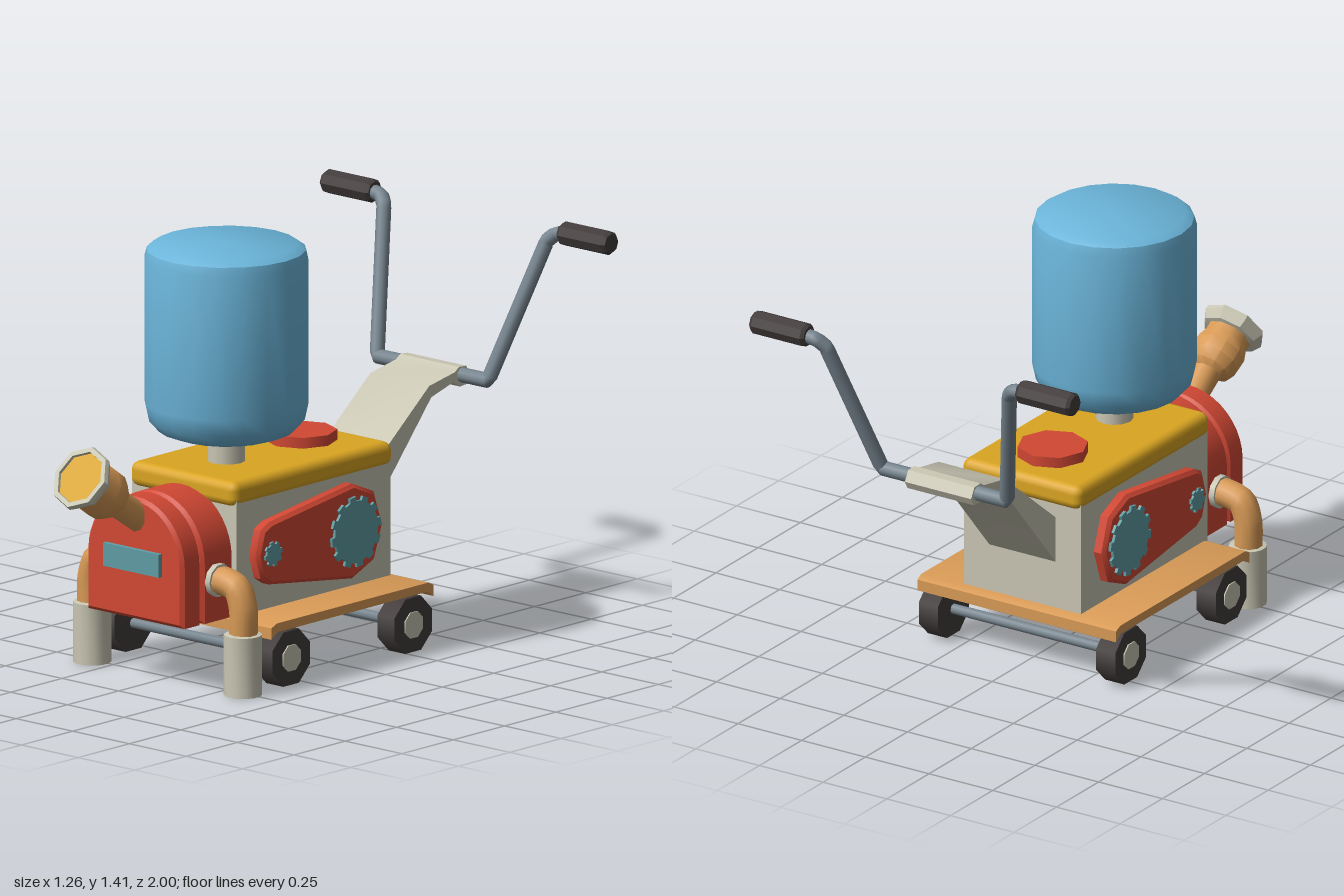
import * as THREE from 'three';
import { toCreasedNormals } from 'three/addons/utils/BufferGeometryUtils.js';
import { RoundedBoxGeometry } from 'three/addons/geometries/RoundedBoxGeometry.js';

const material = (name, color, side = THREE.FrontSide) => {
  const m = new THREE.MeshStandardMaterial({ color, side });
  m.name = name;
  return m;
};

// Shape from a list of [a, b] points
const polygon = (pts) => new THREE.Shape(pts.map(([a, b]) => new THREE.Vector2(a, b)));

// Extrude centred on its depth, with an optional inset bevel
function slab(shape, depth, bevel = 0) {
  const geo = new THREE.ExtrudeGeometry(shape, {
    depth: depth - 2 * bevel, curveSegments: 10, bevelEnabled: bevel > 0,
    bevelThickness: bevel, bevelSize: bevel, bevelOffset: -bevel, bevelSegments: 1,
  });
  geo.translate(0, 0, -(depth - 2 * bevel) / 2);
  return toCreasedNormals(geo, 0.6);
}

// Shape drawn in (z, y), extruded along x
const sideSlab = (shape, width, bevel) => slab(shape, width, bevel).rotateY(-Math.PI / 2);

const lathe = (pts, sides, crease = 0.7) => toCreasedNormals(
  new THREE.LatheGeometry(pts.map(([r, y]) => new THREE.Vector2(r, y)), sides), crease);

const rodX = (radius, length, sides) =>
  new THREE.CylinderGeometry(radius, radius, length, sides).rotateZ(Math.PI / 2);

function tube(pts, radius, segments, tension) {
  const curve = new THREE.CatmullRomCurve3(pts.map((p) => new THREE.Vector3(...p)), false, 'catmullrom', tension);
  return new THREE.TubeGeometry(curve, segments, radius, 10);
}

// Cog outline centred on (z, y)
function cog(z, y, root, tip, teeth) {
  const pts = [];
  for (let i = 0; i < teeth; i++) {
    [[0, root], [0.45, root], [0.5, tip], [0.95, tip]].forEach(([f, r]) => {
      const a = ((i + f) / teeth) * Math.PI * 2;
      pts.push([z + r * Math.cos(a), y + r * Math.sin(a)]);
    });
  }
  return polygon(pts);
}

// Arched outline: flat bottom, straight sides, round top
function arch(halfWidth, bottom, top) {
  const s = new THREE.Shape();
  s.moveTo(-halfWidth, bottom);
  s.lineTo(halfWidth, bottom);
  s.absarc(0, top - halfWidth, halfWidth, 0, Math.PI, false);
  s.closePath();
  return s;
}

export function createModel() {
  const blue = material('tank blue', 0x6bb5da);
  const red = material('casing red', 0xd24834);
  const yellow = material('lid yellow', 0xdaa522);
  const orange = material('copper orange', 0xd89a56);
  const cream = material('body cream', 0xc9c6b3, THREE.DoubleSide);
  const steel = material('steel grey', 0x77858f);
  const rubber = material('rubber black', 0x423b3b);
  const teal = material('gear teal', 0x5f9da4);

  const model = new THREE.Group();
  model.name = 'wheeledPumpMachine';
  const add = (name, geo, mat, x = 0, y = 0, z = 0, parent = model) => {
    const mesh = new THREE.Mesh(geo, mat);
    mesh.name = name;
    mesh.position.set(x, y, z);
    parent.add(mesh);
    return mesh;
  };

  // Platform with turned-down ends
  add('platform', sideSlab(polygon([
    [0.41, 0.23], [0.437, 0.218], [0.437, 0.18], [0.405, 0.2],
    [-0.325, 0.2], [-0.354, 0.18], [-0.354, 0.218], [-0.33, 0.23],
  ]), 0.78), orange);

  // Body, lid and filler cap
  add('body', new THREE.BoxGeometry(0.46, 0.4, 0.75), cream, 0, 0.42, 0.055);
  add('lid', new RoundedBoxGeometry(0.47, 0.085, 0.78, 2, 0.03), yellow, 0, 0.638, 0.055);
  add('fillerCap', new THREE.CylinderGeometry(0.118, 0.118, 0.045, 8), red, 0, 0.694, -0.14);

  // Tank on its neck
  add('tankNeck', new THREE.CylinderGeometry(0.062, 0.062, 0.13, 12), cream, 0, 0.73, 0.225);
  add('tank', lathe([
    [0, 0.768], [0.17, 0.768], [0.225, 0.788], [0.258, 0.825], [0.27, 0.88],
    [0.27, 1.365], [0.262, 1.395], [0.235, 1.413], [0, 1.413],
  ], 20), blue, 0, 0, 0.225);

  // Motor casing: two arched sections with a groove between
  add('motorRear', slab(arch(0.215, 0.228, 0.642), 0.155, 0.012), red, 0, 0, 0.502);
  add('motorGroove', slab(arch(0.2, 0.235, 0.627), 0.1), red, 0, 0, 0.58);
  add('motorFront', slab(arch(0.213, 0.228, 0.64), 0.095, 0.012), red, 0, 0, 0.627);
  add('motorPlate', new THREE.BoxGeometry(0.246, 0.078, 0.03), teal, 0, 0.43, 0.676);

  // Tilted horn
  const horn = new THREE.Group();
  horn.name = 'horn';
  horn.position.set(0, 0.757, 0.94);
  horn.rotation.x = 0.988;
  model.add(horn);
  add('hornPipe', lathe([
    [0.049, -0.42], [0.049, -0.2], [0.072, -0.185], [0.088, -0.15],
    [0.09, -0.11], [0.078, -0.075], [0.078, -0.03],
  ], 10), orange, 0, 0, 0, horn);
  add('hornRim', lathe([
    [0.07, -0.05], [0.095, -0.045], [0.112, -0.015], [0.108, 0], [0.091, 0], [0.088, -0.02],
  ], 8, 0.3), cream, 0, 0, 0, horn);
  add('hornMouth', new THREE.CylinderGeometry(0.092, 0.092, 0.008, 8), yellow, 0, -0.014, 0, horn);

  // Handle bracket
  add('handleBracket', sideSlab(polygon([
    [-0.3, 0.37], [-0.3, 0.535], [-0.62, 0.795], [-0.745, 0.818], [-0.765, 0.832],
    [-0.8, 0.83], [-0.82, 0.795], [-0.805, 0.768], [-0.77, 0.765], [-0.735, 0.785],
    [-0.63, 0.755],
  ]), 0.26), cream);

  // Bent handlebar
  const half = [[0.245, 0.803, -0.78], [0.36, 1.265, -0.94], [0.385, 1.29, -0.955], [0.44, 1.297, -0.957]];
  const mirrored = half.map(([x, y, z]) => [-x, y, z]).reverse();
  add('handlebar', tube([...mirrored, ...half], 0.025, 110, 0), steel);

  // Axles
  for (const z of [0.335, -0.26]) add('axle', rodX(0.018, 0.7, 8), steel, 0, 0.1, z);

  // Paired side parts
  const cover = [
    [0.37, 0.425], [0.345, 0.51], [0.305, 0.53], [-0.1, 0.585], [-0.205, 0.54],
    [-0.245, 0.425], [-0.205, 0.31], [-0.1, 0.265], [0.305, 0.32], [0.345, 0.345],
  ];
  for (const s of [1, -1]) {
    // Gear cover and gears
    add('gearCover', sideSlab(polygon(cover), 0.06, 0.012), red, s * 0.241);
    add('largeGear', sideSlab(cog(-0.1, 0.425, 0.105, 0.12, 12), 0.03), teal, s * 0.266);
    add('smallGear', sideSlab(cog(0.3, 0.425, 0.034, 0.042, 8), 0.03), teal, s * 0.264);

    // Wheels
    for (const z of [0.335, -0.26]) {
      add('wheel', rodX(0.099, 0.075, 8).rotateX(Math.PI / 8), rubber, s * 0.348, 0.1, z);
      add('wheelHub', rodX(0.047, 0.03, 8).rotateX(Math.PI / 8), cream, s * 0.375, 0.1, z);
    }

    // Outlet pipes with open nozzles
    add('outletFlange', rodX(0.056, 0.035, 10), cream, s * 0.218, 0.368, 0.512);
    add('outletElbow', tube([
      [s * 0.2, 0.365, 0.512], [s * 0.255, 0.368, 0.512], [s * 0.312, 0.35, 0.512],
      [s * 0.335, 0.285, 0.512], [s * 0.335, 0.19, 0.512],
    ], 0.048, 16, 0.4), orange);
    add('outletNozzle', lathe([[0.063, 0], [0.063, 0.203], [0.044, 0.207]], 14),
      cream, s * 0.333, 0, 0.512);

    // Grips
    add('grip', lathe([
      [0, -0.107], [0.033, -0.107], [0.041, -0.095], [0.041, 0.095], [0.033, 0.107], [0, 0.107],
    ], 8, 0.3).rotateZ(Math.PI / 2), rubber, s * 0.522, 1.297, -0.957);
  }
  return model;
}
